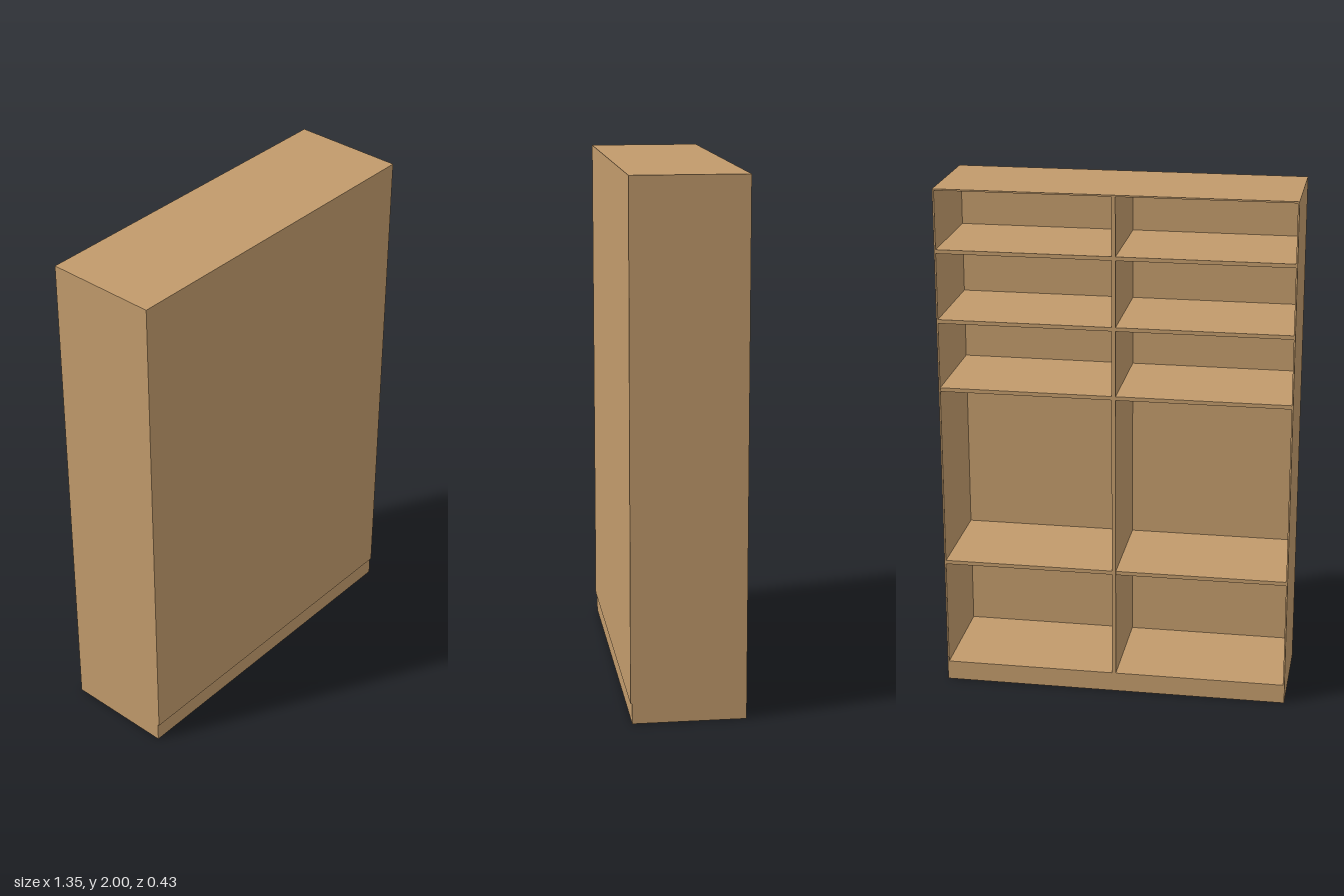
import * as THREE from 'three';

export function createModel() {
  const group = new THREE.Group();
  const wood = new THREE.MeshStandardMaterial({ color: 0xc19a6b });
  wood.name = 'wood';

  // Box given by its lower and upper corners
  function panel(name, [x0, y0, z0], [x1, y1, z1]) {
    const mesh = new THREE.Mesh(new THREE.BoxGeometry(x1 - x0, y1 - y0, z1 - z0), wood);
    mesh.position.set((x0 + x1) / 2, (y0 + y1) / 2, (z0 + z1) / 2);
    mesh.name = name;
    group.add(mesh);
  }

  const W = 0.675, H = 2, D = 0.215;  // half width, height, half depth
  const skin = 0.006;                 // outer panel thickness
  const board = 0.015;                // shelf and divider thickness
  const base = 0.077;                 // plinth height
  const inner = D - skin;             // inside face of the closing panel

  // Carcass: plinth, sides, top and the closed panel on +z
  panel('plinth', [-W, 0, -D], [W, base, inner]);
  panel('rightSide', [-W, base, -D], [-W + skin, H, inner]);
  panel('leftSide', [W - skin, base, -D], [W, H, inner]);
  panel('top', [-W + skin, H - skin, -D], [W - skin, H, inner]);
  panel('closingPanel', [-W, base, inner], [W, H, D]);

  // Central divider
  panel('divider', [-board / 2, base, -D], [board / 2, H - skin, inner]);

  // Shelves in both columns, by height of their upper face
  for (const y of [0.515, 1.23, 1.5, 1.77]) {
    panel('rightShelf', [-W + skin, y - board, -D + 0.002], [-board / 2, y, inner]);
    panel('leftShelf', [board / 2, y - board, -D + 0.002], [W - skin, y, inner]);
  }
  return group;
}
